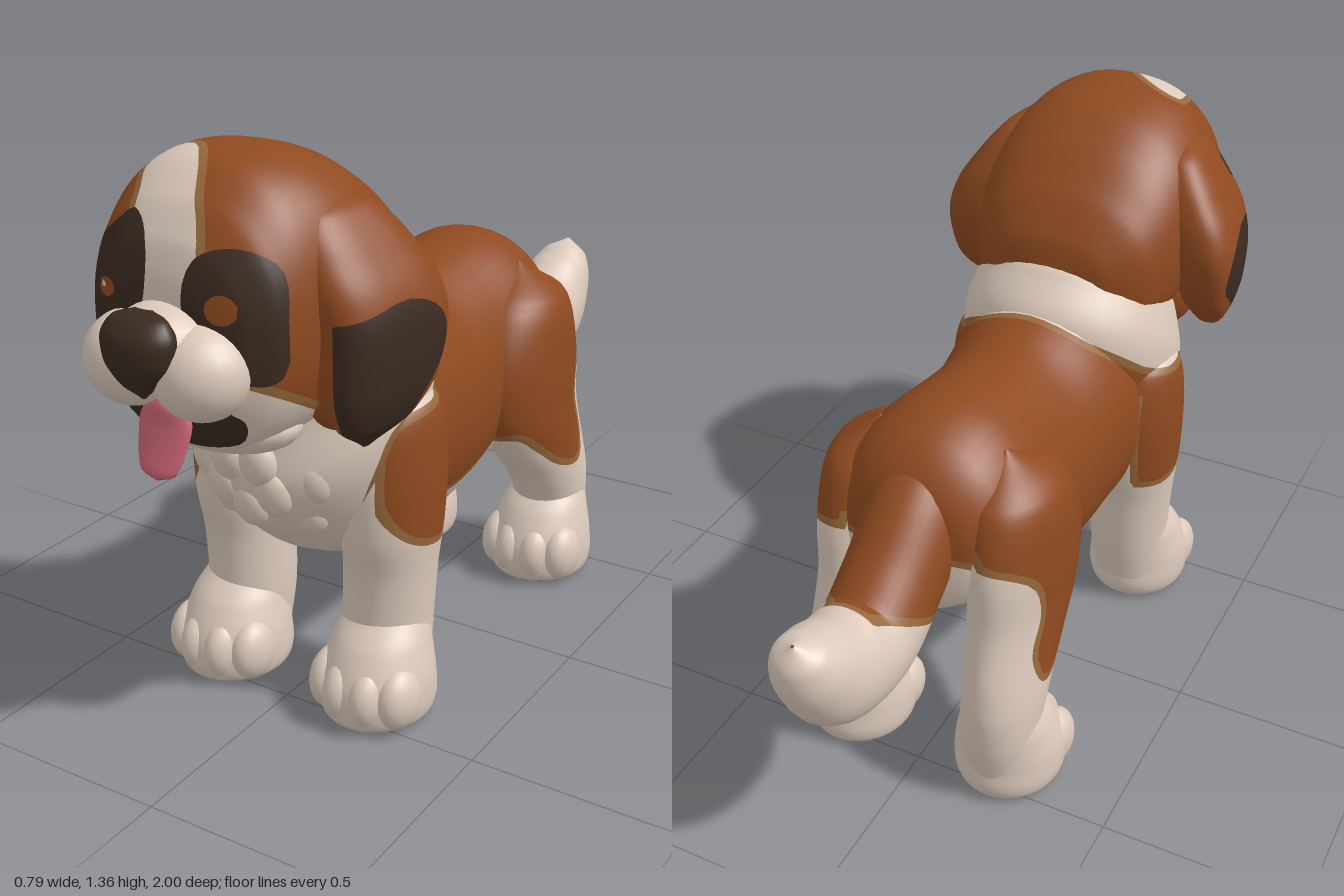
import * as THREE from 'three';

const mat = (name, color) => Object.assign(new THREE.MeshStandardMaterial({ color }), { name });
const V = (x, y, z) => new THREE.Vector3(x, y, z);
const CREAM = 0, BROWN = 1, TAN = 2, DARK = 3, PINK = 4, SOLE = 5;

// Smooth tube through elliptical sections [x, y, z, radiusX, radiusUp]
function loft(sections, { axis = null, rows = 40, sides = 40, power = 2, warp = null } = {}) {
  const spine = new THREE.CatmullRomCurve3(sections.map(s => V(s[0], s[1], s[2])));
  const radii = new THREE.CatmullRomCurve3(sections.map(s => V(s[3], s[4], s[1] + s[2])), false, 'catmullrom', 0.4);
  const span = spine.getPoint(1).sub(spine.getPoint(0));
  const X = V(1, 0, 0), pos = [], index = [];
  const round = c => Math.sign(c) * Math.abs(c) ** (2 / power);
  for (let i = 0; i <= rows; i++) {
    const t = i / rows, c = spine.getPoint(t), r = radii.getPoint(t);
    const dir = axis ? axis.clone().normalize() : spine.getTangent(t);
    if (axis && dir.dot(span) < 0) dir.negate();
    const up = dir.cross(X).normalize();
    for (let j = 0; j < sides; j++) {
      const a = j / sides * Math.PI * 2;
      const p = c.clone().addScaledVector(X, Math.max(r.x, 0.002) * round(Math.cos(a)))
        .addScaledVector(up, Math.max(r.y, 0.002) * round(Math.sin(a)));
      if (warp) warp(p);
      pos.push(p.x, p.y, p.z);
      if (i < rows) {
        const k = i * sides + j, n = i * sides + (j + 1) % sides;
        index.push(k, n, k + sides, n, n + sides, k + sides);
      }
    }
  }
  const g = new THREE.BufferGeometry();
  g.setAttribute('position', new THREE.Float32BufferAttribute(pos, 3));
  g.setIndex(index);
  g.computeVertexNormals();
  return g;
}

// Cut the surface along each field's zero line; where field < 0 it takes that colour
function paint(geo, base, layers) {
  const P = geo.attributes.position, N = geo.attributes.normal, idx = geo.index.array;
  let tris = [];
  const vert = k => ({ p: V().fromBufferAttribute(P, k), n: V().fromBufferAttribute(N, k) });
  for (let i = 0; i < idx.length; i += 3) tris.push({ m: base, v: [0, 1, 2].map(k => vert(idx[i + k])) });
  for (const [field, m] of layers) {
    const next = [];
    for (const t of tris) {
      const d = t.v.map(q => field(q.p)), inside = [], outside = [];
      t.v.forEach((a, i) => {
        const k = (i + 1) % 3, b = t.v[k];
        (d[i] < 0 ? inside : outside).push(a);
        if ((d[i] < 0) !== (d[k] < 0)) {
          const s = d[i] / (d[i] - d[k]);
          const c = { p: a.p.clone().lerp(b.p, s), n: a.n.clone().lerp(b.n, s).normalize() };
          inside.push(c); outside.push(c);
        }
      });
      for (const [poly, c] of [[inside, m], [outside, t.m]])
        for (let i = 2; i < poly.length; i++) next.push({ m: c, v: [poly[0], poly[i - 1], poly[i]] });
    }
    tris = next;
  }
  tris.sort((a, b) => a.m - b.m);
  const pos = [], nor = [], g = new THREE.BufferGeometry();
  tris.forEach((t, i) => {
    t.v.forEach(q => { pos.push(...q.p); nor.push(...q.n); });
    const last = g.groups[g.groups.length - 1];
    if (last && last.materialIndex === t.m) last.count += 3; else g.addGroup(i * 3, 3, t.m);
  });
  g.setAttribute('position', new THREE.Float32BufferAttribute(pos, 3));
  g.setAttribute('normal', new THREE.Float32BufferAttribute(nor, 3));
  return g;
}

// Signed distance to a smooth closed outline in two of the axes
function outline(points, u, v) {
  const pts = new THREE.CatmullRomCurve3(points.map(p => V(p[0], p[1], 0)), true).getPoints(points.length * 4);
  return q => {
    const a = q[u], b = q[v];
    let best = 9, inside = false;
    for (let i = 1; i < pts.length; i++) {
      const s = pts[i - 1], e = pts[i], dx = e.x - s.x, dy = e.y - s.y;
      const t = Math.min(1, Math.max(0, ((a - s.x) * dx + (b - s.y) * dy) / (dx * dx + dy * dy || 1)));
      best = Math.min(best, Math.hypot(a - s.x - t * dx, b - s.y - t * dy));
      if ((s.y > b) !== (e.y > b) && a < s.x + (b - s.y) / dy * dx) inside = !inside;
    }
    return inside ? -best : best;
  };
}
const bordered = (field, color) => [[p => field(p) - 0.018, TAN], [field, color]];
const front = field => p => Math.max(field(p), 0.64 - p.z);
const spot = (x, y, rx, ry) => front(p => (Math.hypot((p.x - x) / rx, (p.y - y) / ry) - 1) * rx);

export function createModel() {
  const dog = new THREE.Group();
  dog.name = 'puppy';
  const mats = [mat('cream fur', 0xdccabb), mat('brown fur', 0x8f4a20), mat('tan edge', 0x95683c), mat('dark fur', 0x3b2b21),
    mat('tongue pink', 0xcc6674), mat('paw sole', 0x80593f)];
  const AY = V(0, 1, 0), AZ = V(0, 0, 1);
  const add = (name, geo, m, parent = dog) => {
    const mesh = new THREE.Mesh(geo, m === undefined ? mats : mats[m]);
    mesh.name = name;
    parent.add(mesh);
    return mesh;
  };
  const ball = (name, c, r, m, parent) => {
    const mesh = add(name, new THREE.SphereGeometry(1, 24, 16), m, parent);
    mesh.position.set(...c);
    mesh.scale.set(...r);
    return mesh;
  };

  // Brown saddle, shared by body, neck and upper legs
  const saddle = outline([[0.12, 1.15], [0.1, 0.94], [0.2, 0.82], [0.28, 0.76], [0.44, 0.73], [0.48, 0.63], [0.47, 0.53],
    [0.42, 0.47], [0.3, 0.44], [0.2, 0.455], [0.05, 0.44], [-0.09, 0.46], [-0.16, 0.49], [-0.25, 0.43], [-0.34, 0.365],
    [-0.42, 0.35], [-0.44, 0.42], [-0.4, 0.52], [-0.42, 0.62], [-0.5, 0.69], [-0.7, 0.75], [-0.7, 1.15]], 'z', 'y');
  const back = p => Math.max(saddle(p), Math.min(0.6 - p.y, -0.15 - p.z));

  // Body and neck
  add('body', paint(loft([[0, 0.6, 0.62, 0.004, 0.004], [0, 0.62, 0.55, 0.17, 0.15], [0, 0.63, 0.45, 0.24, 0.25], [0, 0.63, 0.3, 0.26, 0.32],
    [0, 0.63, 0.15, 0.255, 0.325], [0, 0.61, 0, 0.24, 0.32], [0, 0.635, -0.15, 0.235, 0.31], [0, 0.68, -0.3, 0.24, 0.28],
    [0, 0.7, -0.42, 0.22, 0.23], [0, 0.68, -0.5, 0.16, 0.17], [0, 0.66, -0.54, 0.004, 0.004]], { axis: AZ, rows: 60 }), CREAM, bordered(back, BROWN)));
  add('neck', paint(loft([[0, 0.5, 0.3, 0.2, 0.2], [0, 0.65, 0.35, 0.27, 0.28], [0, 0.775, 0.38, 0.285, 0.31],
    [0, 0.9, 0.41, 0.255, 0.25], [0, 0.97, 0.44, 0.2, 0.2]], { axis: V(0, 0.85, 0.53) }), CREAM, bordered(saddle, BROWN)));

  // Chest tufts
  for (const [x, y, z] of [[0, 0.56, 0.61], [0.065, 0.6, 0.615], [0.11, 0.54, 0.545], [0.14, 0.63, 0.575], [0.04, 0.67, 0.635]])
    for (const s of x ? [-1, 1] : [1])
      ball('chestTuft', [s * x, y, z], [0.045, 0.06, 0.032], CREAM).rotation.set(0.2, s * x * 2.5, s * x);

  // Tail, brown at the root
  const root = p => Math.max(((p.z + 0.76) * -0.15 + (p.y - 0.7) * -0.24) / 0.283, -0.745 - p.z);
  add('tail', paint(loft([[0, 0.82, -0.32, 0.09, 0.09], [0, 0.76, -0.43, 0.115, 0.125], [0, 0.64, -0.58, 0.115, 0.125], [0, 0.57, -0.7, 0.115, 0.125],
    [0, 0.59, -0.82, 0.11, 0.13], [0, 0.67, -0.91, 0.09, 0.095], [0, 0.73, -0.95, 0.06, 0.055], [0, 0.765, -0.965, 0.004, 0.004]]),
  CREAM, bordered(root, BROWN)));

  // Legs and paws, brown only on the outside
  for (const s of [-1, 1]) {
    const side = s > 0 ? 'left' : 'right';
    const leg = (name, rows, pawX, pawZ, brownX) => {
      const g = new THREE.Group();
      g.name = side + name;
      dog.add(g);
      const outer = p => Math.max(saddle(p), Math.min(brownX - Math.abs(p.x), 0.72 - p.y));
      add('leg', paint(loft(rows.map(r => [s * r[0], ...r.slice(1)]), { axis: AY }), CREAM, bordered(outer, BROWN)), undefined, g);
      add('paw', paint(loft([[0.26, -0.05, 0.08, 0.08], [0.19, -0.02, 0.112, 0.12], [0.11, 0, 0.133, 0.14], [0.05, 0, 0.135, 0.145],
        [0.012, 0, 0.12, 0.13], [0.006, 0, 0.06, 0.07], [0.005, 0, 0.004, 0.004]].map(([y, z, rx, rz]) => [s * pawX, y, pawZ + z, rx, rz]),
      { axis: AY }), CREAM, [[p => p.y - 0.014, SOLE]]), undefined, g);
      for (const [dx, dz] of [[-0.09, 0.055], [-0.034, 0.085], [0.034, 0.085], [0.09, 0.055]])
        ball('toe', [s * pawX + dx, 0.085, pawZ + dz], [0.048, 0.077, 0.07], CREAM, g);
    };
    leg('FrontLeg', [[0.2, 0.83, 0.34, 0.004, 0.004], [0.21, 0.76, 0.35, 0.09, 0.11], [0.205, 0.62, 0.35, 0.115, 0.145], [0.205, 0.47, 0.355, 0.112, 0.14],
      [0.2, 0.35, 0.355, 0.107, 0.117], [0.195, 0.2, 0.36, 0.105, 0.11], [0.2, 0.08, 0.37, 0.1, 0.1]], 0.205, 0.42, 0.26);
    leg('HindLeg', [[0.16, 0.89, -0.33, 0.004, 0.004], [0.18, 0.8, -0.32, 0.1, 0.15], [0.195, 0.65, -0.31, 0.11, 0.205], [0.2, 0.5, -0.325, 0.105, 0.2],
      [0.205, 0.4, -0.375, 0.1, 0.175], [0.21, 0.3, -0.43, 0.098, 0.14], [0.21, 0.2, -0.46, 0.095, 0.11], [0.21, 0.07, -0.45, 0.09, 0.1]], 0.21, -0.41, 0.18);
  }

  // Head with painted blaze, eye patches and mouth
  const head = new THREE.Group();
  head.name = 'head';
  dog.add(head);
  const blazeFront = outline([[-0.15, 1.5], [-0.16, 1.34], [-0.11, 1.28], [-0.1, 1.2], [-0.08, 1.05], [-0.06, 0.95], [0.06, 0.95],
    [0.08, 1.05], [0.075, 1.2], [0.05, 1.28], [0.04, 1.5]], 'x', 'y');
  const blazeTop = outline([[-0.3, 1.1], [-0.17, 0.75], [-0.16, 0.67], [-0.12, 0.645], [-0.06, 0.67], [0, 0.74], [0.05, 0.82], [0.12, 0.86], [0.3, 1.1]], 'x', 'z');
  const blaze = p => Math.max(blazeFront(p), blazeTop(p));
  const jowl = p => (p.y - 0.78 - 0.55 * (p.z - 0.55)) * 0.88;
  const patchR = outline([[-0.05, 1.08], [-0.05, 1.21], [-0.1, 1.26], [-0.16, 1.22], [-0.21, 1.18], [-0.23, 1.09], [-0.23, 0.96], [-0.12, 0.98]], 'x', 'y');
  const patchL = outline([[0.05, 1.08], [0.07, 1.19], [0.15, 1.215], [0.22, 1.18], [0.24, 1.06], [0.225, 0.95], [0.12, 0.98]], 'x', 'y');
  const mouth = outline([[-0.16, 0.87], [-0.14, 0.81], [-0.07, 0.785], [0, 0.78], [0.07, 0.785], [0.14, 0.81], [0.16, 0.87], [0, 0.93]], 'x', 'y');
  add('skull', paint(loft([[0, 1, 0.2, 0.004, 0.004], [0, 1, 0.23, 0.15, 0.11], [0, 1, 0.3, 0.235, 0.205], [0, 1.03, 0.4, 0.272, 0.26],
    [0, 1.06, 0.5, 0.283, 0.285], [0, 1.06, 0.62, 0.28, 0.308], [0, 1.05, 0.72, 0.262, 0.305], [0, 1.03, 0.8, 0.235, 0.265],
    [0, 1.02, 0.85, 0.185, 0.2], [0, 1.02, 0.87, 0.12, 0.13], [0, 1.02, 0.88, 0.004, 0.004]], { axis: AZ, rows: 60, sides: 60, power: 2.35 }),
  BROWN, [...bordered(blaze, CREAM), ...bordered(jowl, CREAM), [front(patchR), DARK], [front(patchL), DARK], [front(mouth), DARK],
    [spot(-0.152, 1.1, 0.026, 0.02), BROWN], [spot(-0.162, 1.1, 0.009, 0.011), CREAM], [spot(0.135, 1.1, 0.035, 0.03), BROWN]]), undefined, head);

  // Muzzle, nose, jaw, cheeks and tongue
  for (const s of [-1, 1]) {
    ball('muzzlePad', [s * 0.085, 0.968, 0.865], [0.105, 0.1, 0.1], CREAM, head);
    ball('brow', [s * 0.13, 1.165, 0.81], [0.06, 0.025, 0.035], DARK, head).rotation.z = -s * 0.2;
    ball('cheek', [s * 0.215, 0.905, 0.56], [0.06, 0.135, 0.13], BROWN, head);
  }
  ball('muzzleBridge', [0, 1.015, 0.875], [0.11, 0.085, 0.105], CREAM, head);
  ball('jaw', [0, 0.81, 0.71], [0.2, 0.075, 0.11], CREAM, head);
  add('nose', loft([[0, 1.1, 0.925, 0.02, 0.004], [0, 1.085, 0.94, 0.066, 0.03], [0, 1.05, 0.946, 0.086, 0.052], [0, 1, 0.946, 0.08, 0.053],
    [0, 0.96, 0.945, 0.048, 0.04], [0, 0.92, 0.94, 0.004, 0.004]], { axis: AY, rows: 24, sides: 28 }), DARK, head);
  add('tongue', loft([[0, 0.93, 0.86, 0.004, 0.004], [0, 0.89, 0.875, 0.045, 0.02], [0, 0.85, 0.88, 0.065, 0.02], [0, 0.79, 0.898, 0.058, 0.017],
    [0, 0.75, 0.912, 0.042, 0.014], [0, 0.735, 0.914, 0.004, 0.004]], { axis: AY, rows: 20, sides: 24 }), PINK, head);

  // Hanging ears with dark tips, one with a small spot
  const tip = outline([[0.78, 1.02], [0.67, 1.065], [0.55, 1.08], [0.46, 1.03], [0.44, 0.95], [0.5, 0.88], [0.55, 0.78], [0.6, 0.7], [0.72, 0.7],
    [0.8, 0.9]], 'z', 'y');
  for (const s of [-1, 1])
    add(s > 0 ? 'leftEar' : 'rightEar', paint(loft([[0.19, 1.285, 0.58, 0.004, 0.004], [0.2, 1.25, 0.58, 0.06, 0.1], [0.23, 1.18, 0.57, 0.085, 0.14],
      [0.272, 1.1, 0.56, 0.092, 0.158], [0.295, 1.02, 0.555, 0.09, 0.16], [0.305, 0.9, 0.57, 0.075, 0.145], [0.312, 0.82, 0.59, 0.042, 0.1],
      [0.305, 0.765, 0.61, 0.004, 0.01]].map(r => [s * r[0], ...r.slice(1)]),
    { axis: AY, power: 2.8, warp: p => { p.x -= s * 0.15 * (p.z - 0.57); } }),
    BROWN, [[p => Math.max(tip(p), 0.29 - Math.abs(p.x)), DARK], [spot(-0.275, 1.165, 0.033, 0.05), DARK]]), undefined, head);
  return dog;
}
